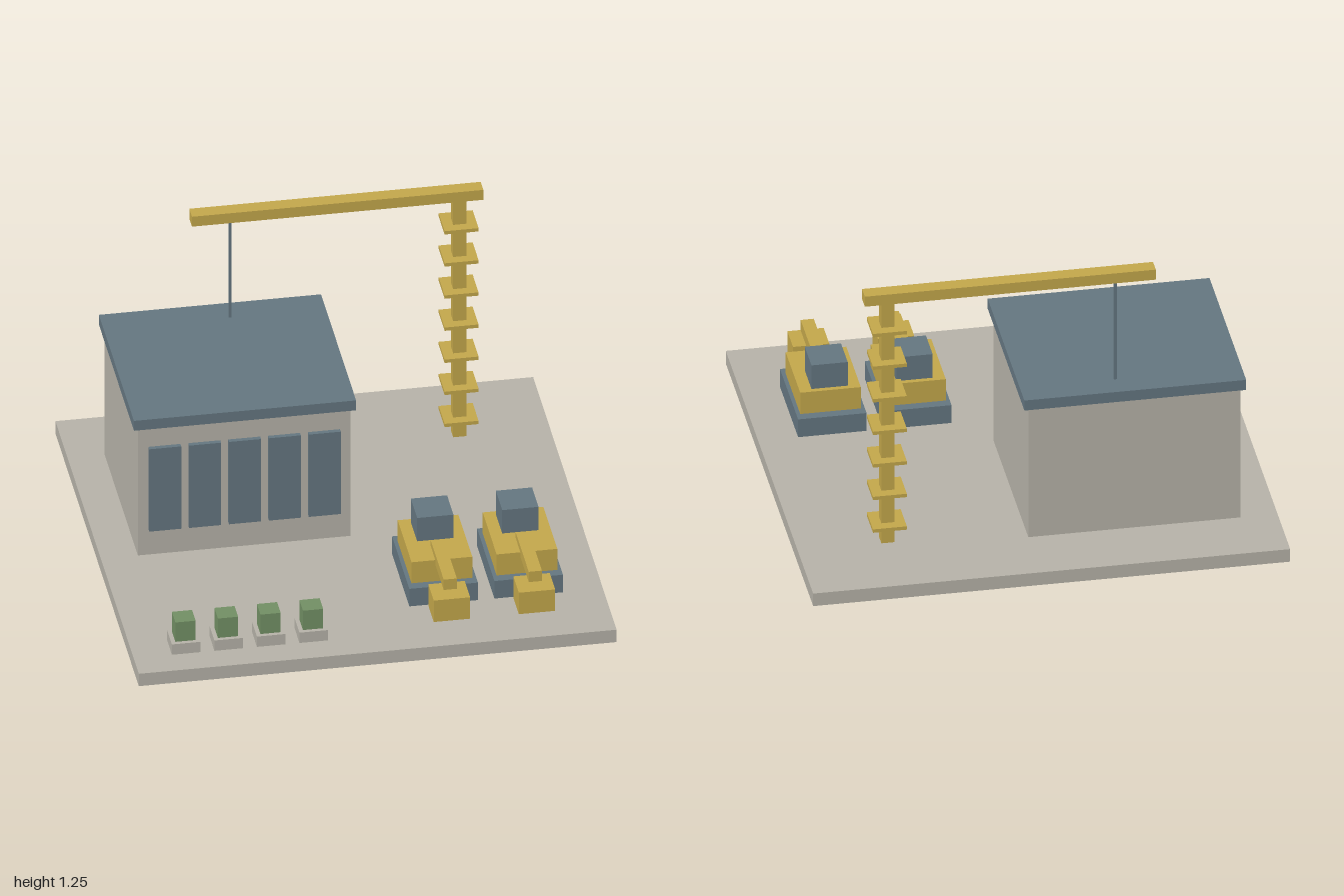
import * as THREE from 'three';

const material = (name, color) => {
  const m = new THREE.MeshStandardMaterial({ color });
  m.name = name;
  return m;
};

export function createModel() {
  const concrete = material('concrete', 0xb6b2a8);
  const slate = material('slate', 0x647680);
  const yellow = material('machine yellow', 0xc3a74b);
  const green = material('leaf green', 0x728f64);

  const model = new THREE.Group();
  model.name = 'constructionYard';

  // Box of size w, h, d whose underside centre sits at x, y, z
  const box = (parent, name, mat, w, h, d, x, y, z) => {
    const mesh = new THREE.Mesh(new THREE.BoxGeometry(w, h, d), mat);
    mesh.name = name;
    mesh.position.set(x, y + h / 2, z);
    parent.add(mesh);
  };
  const group = (name, x = 0, y = 0, z = 0) => {
    const g = new THREE.Group();
    g.name = name;
    g.position.set(x, y, z);
    model.add(g);
    return g;
  };

  const ground = 0.06;
  box(model, 'baseSlab', concrete, 2, ground, 2, 0, 0, 0);

  // Depot with overhanging flat roof and five tall front panels
  const depot = group('depot', -0.4, ground, -0.31);
  box(depot, 'walls', concrete, 0.89, 0.62, 0.8, 0, 0, 0);
  box(depot, 'roof', slate, 0.93, 0.048, 0.84, 0, 0.62, 0);
  for (let i = 0; i < 5; i++) {
    box(depot, 'doorPanel', slate, 0.134, 0.4, 0.02, (i - 2) * 0.167, 0.123, 0.41);
  }

  // Tower crane: mast with collars, jib and hanging cable
  const crane = group('crane', 0.622, 0, -0.622);
  box(crane, 'mast', yellow, 0.056, 1.143, 0.056, 0, ground, 0);
  for (let i = 0; i < 7; i++) {
    box(crane, 'mastCollar', yellow, 0.142, 0.016, 0.142, 0, 0.14 + i * 0.156, 0);
  }
  box(crane, 'jib', yellow, 1.22, 0.048, 0.064, -0.512, 1.203, 0);
  box(crane, 'cable', slate, 0.012, 0.475, 0.012, -0.957, 0.728, 0);

  // Two excavators side by side, facing the front
  for (const x of [0.333, 0.689]) {
    const digger = group('excavator', x);
    box(digger, 'tracks', slate, 0.287, 0.085, 0.416, 0, ground, 0.466);
    box(digger, 'body', yellow, 0.254, 0.102, 0.333, 0, 0.145, 0.466);
    box(digger, 'cab', slate, 0.152, 0.113, 0.154, 0, 0.247, 0.398);
    box(digger, 'boom', yellow, 0.055, 0.05, 0.312, 0, 0.225, 0.677);
    box(digger, 'bucket', yellow, 0.152, 0.104, 0.13, 0, 0.099, 0.808);
  }

  // Row of planters with clipped shrubs
  for (let i = 0; i < 4; i++) {
    const planter = group('planter', -0.78 + i * 0.178, ground, 0.817);
    box(planter, 'pot', concrete, 0.12, 0.05, 0.12, 0, 0, 0);
    box(planter, 'shrub', green, 0.085, 0.094, 0.085, 0, 0.05, 0);
  }

  return model;
}
